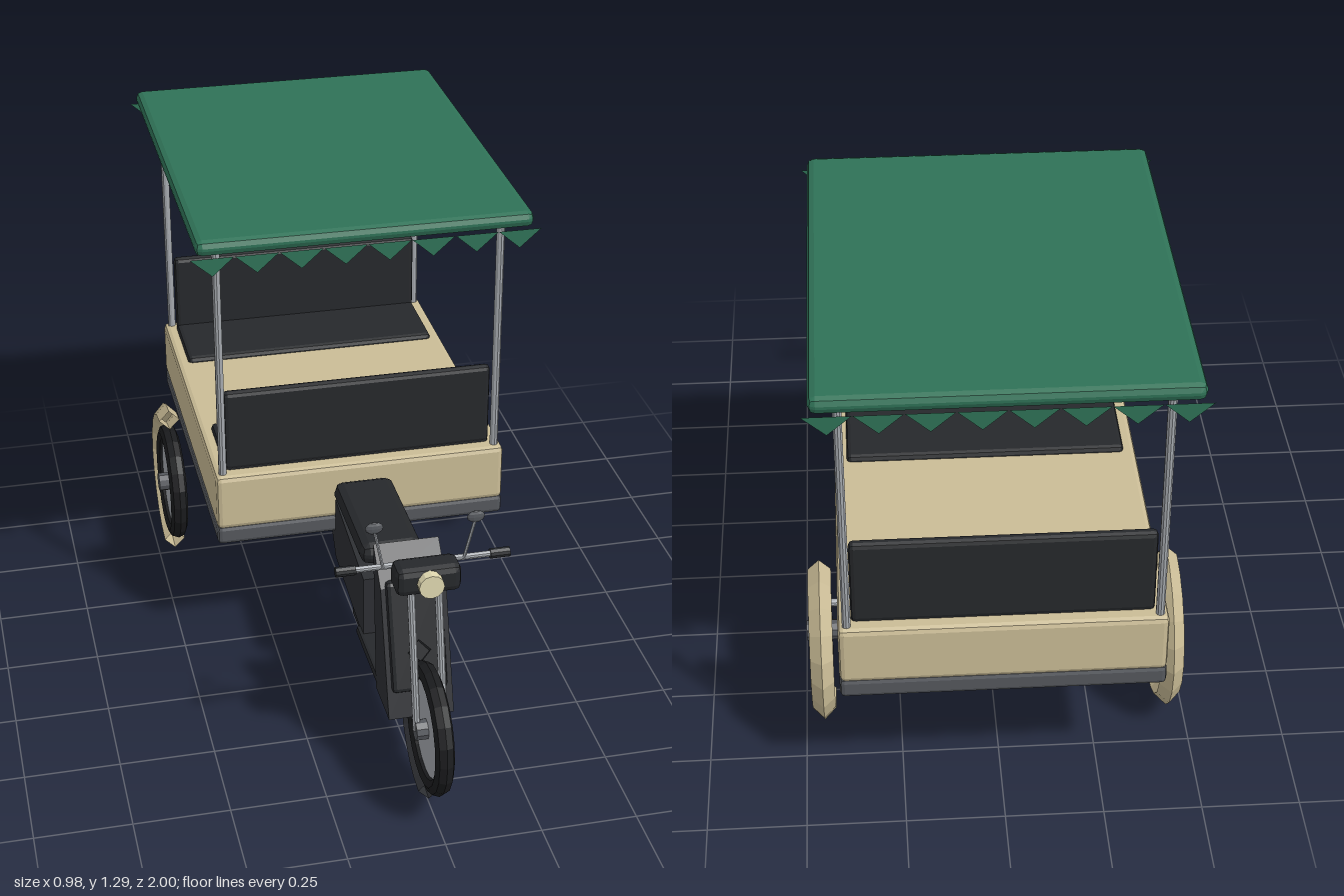
import * as THREE from 'three';
import { RoundedBoxGeometry } from 'three/addons/geometries/RoundedBoxGeometry.js';

const mat = (color) => new THREE.MeshStandardMaterial({ color, flatShading: true, side: THREE.DoubleSide });

export function createModel() {
  const model = new THREE.Group();
  const green = mat(0x2f7257), tan = mat(0xcabc96), black = mat(0x26282b), rubber = mat(0x1b1c1e);
  const body = mat(0x2d2f33), steel = mat(0xa4a8ad), deckGrey = mat(0x55585d), cream = mat(0xe0d8b0);

  const add = (name, geo, material, parent = model) => {
    const mesh = new THREE.Mesh(geo, material);
    mesh.name = name;
    parent.add(mesh);
    return mesh;
  };
  // chamfered box given by its extents
  const block = (name, [x0, x1], [y0, y1], [z0, z1], bevel, material) => {
    const m = add(name, new RoundedBoxGeometry(x1 - x0, y1 - y0, z1 - z0, 1, bevel), material);
    m.position.set((x0 + x1) / 2, (y0 + y1) / 2, (z0 + z1) / 2);
    return m;
  };
  // straight round bar between two points
  const bar = (name, a, b, r, material, sides = 10) => {
    const p = new THREE.Vector3(...a), q = new THREE.Vector3(...b);
    const m = add(name, new THREE.CylinderGeometry(r, r, p.distanceTo(q), sides), material);
    m.position.copy(p).add(q).multiplyScalar(0.5);
    m.quaternion.setFromUnitVectors(new THREE.Vector3(0, 1, 0), q.sub(p).normalize());
    return m;
  };
  // side outline given as [z, y] points, extruded across the width
  const panel = (name, points, width, material) => {
    const shape = new THREE.Shape(points.map(([z, y]) => new THREE.Vector2(-z, y)));
    const geo = new THREE.ExtrudeGeometry(shape, { depth: width, bevelEnabled: false });
    return add(name, geo.translate(0, 0, -width / 2).rotateY(Math.PI / 2), material);
  };
  const wheel = (name, x, z) => {
    const g = new THREE.Group();
    g.name = name;
    g.position.set(x, 0.24, z);
    model.add(g);
    add('tyre', new THREE.TorusGeometry(0.147, 0.025, 8, 20).rotateY(Math.PI / 2), rubber, g);
    add('wheelDisc', new THREE.CylinderGeometry(0.135, 0.135, 0.02, 20).rotateZ(Math.PI / 2), steel, g);
    add('hub', new THREE.CylinderGeometry(0.027, 0.027, 0.08, 10).rotateZ(Math.PI / 2), deckGrey, g);
  };
  // diamond-section mudguard running from the bottom of the wheel round its back
  const mudguard = (name, x, z, radius, tube, arc, material) => {
    const geo = new THREE.TorusGeometry(radius, tube, 4, 10, arc).rotateZ(-Math.PI / 2).rotateY(Math.PI / 2);
    add(name, geo, material).position.set(x, 0.24, z);
  };

  // Canopy with a pennant fringe at front and back
  block('canopyRoof', [-0.445, 0.445], [1.257, 1.3], [-0.998, 0.123], 0.018, green);
  const pennant = new THREE.ShapeGeometry(new THREE.Shape([
    new THREE.Vector2(-0.057, 0.05), new THREE.Vector2(0, 0), new THREE.Vector2(0.057, 0.05)]));
  for (const z of [0.126, -0.999])
    for (let i = 0; i < 8; i++)
      add('fringePennant', pennant, green).position.set((i - 3.5) * 0.1155, 1.206, z);
  for (const x of [-0.381, 0.381])
    for (const z of [0.027, -0.9])
      bar('canopyPost', [x, 0.5, z], [x, 1.265, z], 0.011, steel);

  // Passenger tub
  block('deck', [-0.403, 0.403], [0.36, 0.415], [-0.925, 0.055], 0.012, deckGrey);
  block('tub', [-0.403, 0.403], [0.408, 0.57], [-0.925, 0.055], 0.014, tan);
  block('underside', [-0.385, 0.385], [0.357, 0.38], [-0.905, 0.035], 0.003, body);
  block('frontBenchCushion', [-0.37, 0.37], [0.55, 0.586], [-0.235, 0.012], 0.012, black);
  block('rearBenchCushion', [-0.37, 0.37], [0.55, 0.586], [-0.885, -0.635], 0.012, black);
  block('frontBenchBack', [-0.37, 0.37], [0.57, 0.805], [-0.015, 0.015], 0.012, black);
  block('rearBenchBack', [-0.37, 0.37], [0.57, 0.805], [-0.89, -0.86], 0.012, black);

  // Wheels and mudguards
  for (const s of [-1, 1]) {
    wheel('tubWheel', s * 0.45, -0.525);
    mudguard('tubMudguard', s * 0.45, -0.525, 0.205, 0.03, Math.PI, tan);
  }
  bar('axleStub', [0.2, 0.31, -0.5], [0.435, 0.31, -0.5], 0.011, steel);
  wheel('frontWheel', 0, 0.83);
  wheel('scooterRearWheel', 0, 0.1);
  mudguard('frontMudguard', 0, 0.83, 0.195, 0.028, 2.55, body);

  // Scooter body
  panel('legShield', [[0.557, 0.628], [0.596, 0.215], [0.742, 0.215], [0.64, 0.545]], 0.17, body);
  const front = block('shieldPanel', [-0.073, 0.073], [0.27, 0.565], [0.64, 0.69], 0.012, black);
  front.rotation.x = -0.3;
  block('footboard', [-0.085, 0.085], [0.225, 0.252], [0.36, 0.62], 0.008, black);
  block('engine', [-0.065, 0.065], [0.19, 0.3], [0.22, 0.38], 0.015, black);
  panel('rearBody', [[0.405, 0.24], [0.405, 0.423], [0.06, 0.465], [-0.005, 0.36], [0.06, 0.28]], 0.15, body);
  block('riderSeat', [-0.083, 0.083], [0.47, 0.53], [0.06, 0.42], 0.025, black);
  bar('exhaust', [0.09, 0.196, 0.405], [0.09, 0.275, -0.03], 0.021, steel);

  // Fork, headlight and handlebar
  block('headlightHousing', [-0.083, 0.083], [0.618, 0.692], [0.725, 0.8], 0.018, black);
  add('headlight', new THREE.CylinderGeometry(0.032, 0.032, 0.04, 12).rotateX(Math.PI / 2), cream)
    .position.set(0, 0.655, 0.802);
  bar('handlebar', [-0.19, 0.672, 0.73], [0.19, 0.672, 0.73], 0.008, steel);
  for (const s of [-1, 1]) {
    bar('forkLeg', [s * 0.035, 0.24, 0.83], [s * 0.035, 0.64, 0.745], 0.01, steel);
    bar('handGrip', [s * 0.17, 0.672, 0.73], [s * 0.22, 0.672, 0.73], 0.013, black);
    bar('mirrorStem', [s * 0.102, 0.672, 0.735], [s * 0.127, 0.79, 0.745], 0.004, steel, 6);
    const mirror = add('mirror', new THREE.SphereGeometry(0.023, 10, 6), deckGrey);
    mirror.scale.set(1, 0.72, 0.3);
    mirror.position.set(s * 0.127, 0.795, 0.746);
  }
  return model;
}
